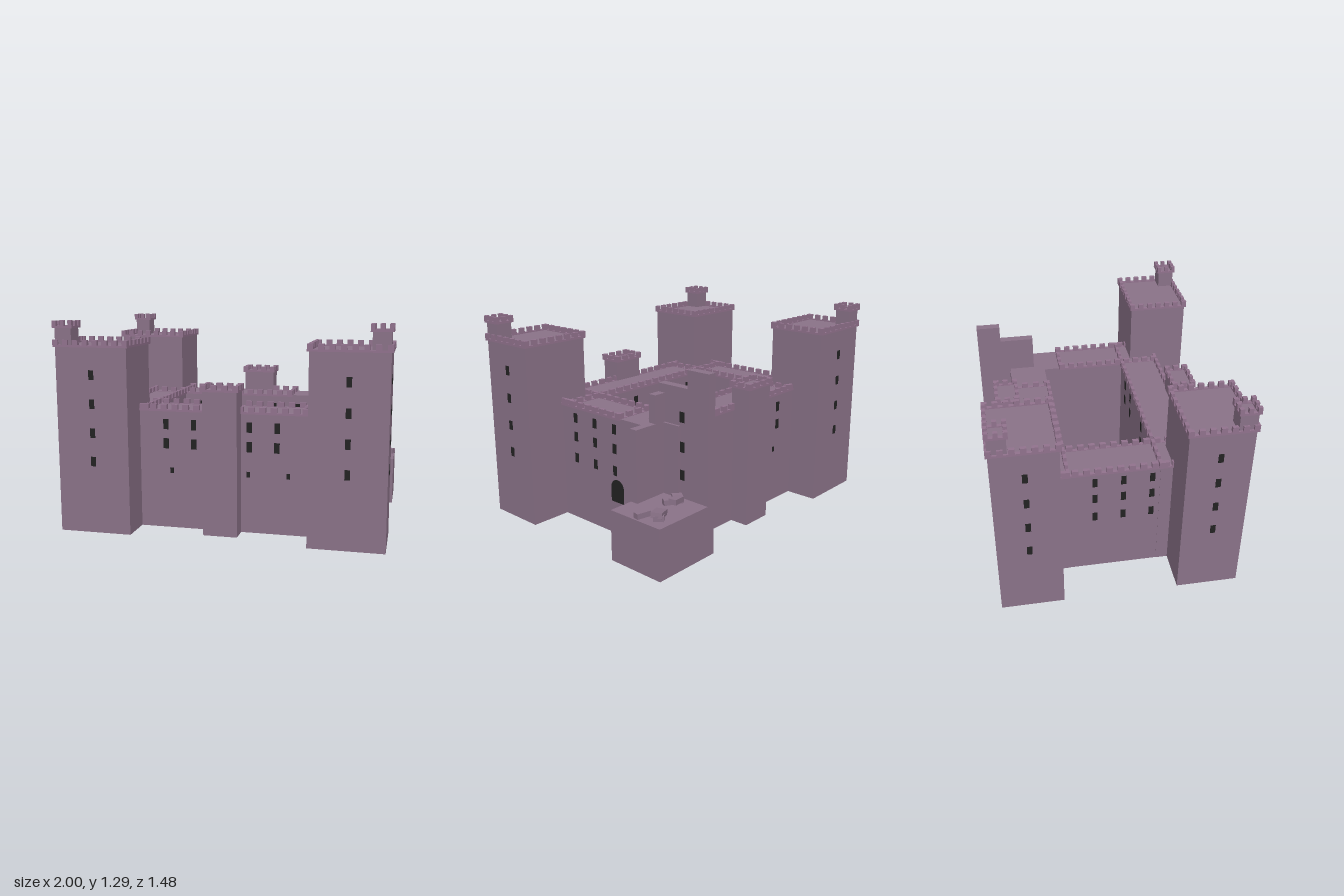
import * as THREE from 'three';
import { mergeGeometries } from 'three/addons/utils/BufferGeometryUtils.js';

export function createModel() {
  const castle = new THREE.Group();
  castle.name = 'castle';
  const stone = new THREE.MeshStandardMaterial({ color: 0x8a7288, side: THREE.DoubleSide });
  stone.name = 'stone';
  const trim = new THREE.MeshStandardMaterial({ color: 0x91728d });
  trim.name = 'parapetStone';
  const dark = new THREE.MeshStandardMaterial({ color: 0x222222 });
  dark.name = 'darkOpening';

  const add = (name, geometry, material) => {
    const mesh = new THREE.Mesh(geometry, material);
    mesh.name = name;
    castle.add(mesh);
    return mesh;
  };
  // Box between two corners
  const span = (x0, x1, y0, y1, z0, z1) =>
    new THREE.BoxGeometry(x1 - x0, y1 - y0, z1 - z0)
      .translate((x0 + x1) / 2, (y0 + y1) / 2, (z0 + z1) / 2);
  // Masonry shell, open underneath
  const shell = (name, ...b) => {
    const g = span(...b);
    const index = Array.from(g.index.array);
    index.splice(18, 6);
    g.setIndex(index);
    g.clearGroups();
    return add(name, g, stone);
  };

  // Overhanging ledge with evenly spaced merlons round a rectangle
  const parapet = (name, x0, x1, z0, z1, y, step = 0.06, rise = 0.043) => {
    const t = 0.011, parts = [], m = step * 0.56;
    const ledge = y + 0.013, top = y + rise;
    for (const z of [z0, z1]) {
      parts.push(span(x0 - t, x1 + t, y, ledge, z - t, z + t));
      const n = Math.round((x1 - x0 + 2 * t - m) / step);
      for (let i = 0; i <= n; i++) {
        const x = x0 - t + (i / n) * (x1 - x0 + 2 * t - m);
        parts.push(span(x, x + m, ledge - 0.003, top, z - t, z + t));
      }
    }
    for (const x of [x0, x1]) {
      parts.push(span(x - t, x + t, y, ledge, z0 - t, z1 + t));
      const n = Math.round((z1 - z0 + 2 * t - m) / step);
      for (let i = 0; i <= n; i++) {
        const z = z0 - t + (i / n) * (z1 - z0 + 2 * t - m);
        parts.push(span(x - t, x + t, ledge - 0.003, top, z, z + m));
      }
    }
    add(name, mergeGeometries(parts), trim);
  };

  // Thin window plates on faces across z or across x
  const windowZ = (x, y, z, w = 0.033, h = 0.063) =>
    add('window', new THREE.BoxGeometry(w, h, 0.006).translate(x, y, z), dark);
  const windowX = (x, y, z, w = 0.031, h = 0.06) =>
    add('window', new THREE.BoxGeometry(0.006, h, w).translate(x, y, z), dark);

  // Three intact corner towers, each with a turret
  for (const [sx, sz] of [[-1, 1], [1, 1], [-1, -1]]) {
    const xs = [0.538 * sx, 0.988 * sx].sort((a, b) => a - b);
    const zs = [0.35 * sz, 0.728 * sz].sort((a, b) => a - b);
    shell('cornerTower', xs[0], xs[1], 0, 1.14, zs[0], zs[1]);
    parapet('towerParapet', xs[0], xs[1], zs[0], zs[1], 1.134);
    const tx = [0.883 * sx, 0.987 * sx].sort((a, b) => a - b);
    const tz = [0.623 * sz, 0.727 * sz].sort((a, b) => a - b);
    shell('turret', tx[0], tx[1], 1.135, 1.252, tz[0], tz[1]);
    parapet('turretParapet', tx[0], tx[1], tz[0], tz[1], 1.246, 0.045);
    for (const y of [0.97, 0.795, 0.62, 0.445]) {
      windowZ(0.763 * sx, y, 0.728 * sz, 0.031, 0.058);
      windowX(0.988 * sx, y, 0.54 * sz, 0.031, 0.058);
    }
  }

  // Curtain walls, crenellated up to the broken corner
  const H = 0.747;
  shell('frontWall', -0.73, 0.725, 0, H, 0.275, 0.522);
  parapet('frontWallParapet', -0.73, 0.725, 0.275, 0.522, 0.736, 0.07);
  shell('backWall', -0.73, 0.605, 0, H, -0.522, -0.28);
  parapet('backWallParapet', -0.73, 0.275, -0.522, -0.28, 0.736, 0.07);
  shell('leftWall', -0.728, -0.49, 0, H - 0.001, -0.52, 0.52);
  parapet('leftWallParapet', -0.728, -0.49, -0.52, 0.52, 0.736, 0.07);
  shell('rightWall', 0.487, 0.727, 0, H - 0.001, -0.395, 0.52);
  parapet('rightWallParapet', 0.487, 0.727, -0.165, 0.52, 0.736, 0.07);

  // Middle towers of the front and back walls
  for (const [z0, z1] of [[0.503, 0.635], [-0.642, -0.51]]) {
    shell('middleTower', -0.105, 0.105, 0, 0.885, z0, z1);
    parapet('middleTowerParapet', -0.105, 0.105, z0, z1, 0.878, 0.063, 0.04);
  }

  // Wall windows
  for (const y of [0.655, 0.535]) {
    for (const x of [-0.37, -0.193, 0.155, 0.325]) {
      windowZ(x, y, 0.522);
      windowZ(x, y, 0.275);
      windowZ(x, y, -0.28);
      if (x < 0) windowZ(x, y, -0.522);
    }
  }
  for (const x of [-0.335, 0.15, 0.395]) windowZ(x, 0.365, 0.522, 0.022, 0.034);
  windowZ(-0.335, 0.365, -0.522, 0.022, 0.034);
  for (const y of [0.672, 0.55, 0.41]) {
    for (const z of [0.228, 0.053, -0.12]) {
      windowX(0.727, y, z);
      windowX(-0.728, y, z);
    }
  }

  // Arched doorway in the right wall
  const arch = new THREE.Shape();
  arch.moveTo(-0.053, 0);
  arch.lineTo(0.053, 0);
  arch.lineTo(0.053, 0.092);
  arch.absarc(0, 0.092, 0.053, 0, Math.PI, false);
  arch.closePath();
  const door = add('archedDoor',
    new THREE.ExtrudeGeometry(arch, { depth: 0.006, bevelEnabled: false, curveSegments: 8 }), dark);
  door.rotation.y = Math.PI / 2;
  door.position.set(0.724, 0.21, -0.138);

  // Ruined corner tower: base and a stepped remnant of each inner wall
  shell('ruinBase', 0.535, 0.985, 0, 0.31, -0.73, -0.352);
  const remnant = new THREE.Shape([[0.352, 0.3], [0.73, 0.3], [0.73, 1.08], [0.575, 1.08],
    [0.575, 0.972], [0.352, 0.972]].map(([a, b]) => new THREE.Vector2(a, b)));
  const sideRuin = add('ruinSideWall',
    new THREE.ExtrudeGeometry(remnant, { depth: 0.055, bevelEnabled: false }), stone);
  sideRuin.rotation.y = Math.PI / 2;
  sideRuin.position.x = 0.535;
  const frontRemnant = new THREE.Shape([[0.58, 0.3], [0.825, 0.3], [0.825, 0.75], [0.67, 0.75],
    [0.67, 0.92], [0.58, 0.92]].map(([a, b]) => new THREE.Vector2(a, b)));
  const frontRuin = add('ruinFrontWall',
    new THREE.ExtrudeGeometry(frontRemnant, { depth: 0.05, bevelEnabled: false }), stone);
  frontRuin.position.z = -0.403;
  for (const y of [0.8, 0.622, 0.452]) windowX(0.59, y, -0.537, 0.036, 0.062);

  // Fallen blocks: x, y, z, length, depth, turn, tilt
  for (const [x, y, z, l, d, turn, tilt] of [
    [0.695, 0.345, -0.585, 0.09, 0.05, 0.2, 0.08], [0.705, 0.332, -0.55, 0.09, 0.045, -0.5, 0],
    [0.645, 0.33, -0.55, 0.08, 0.06, 0.9, 0], [0.885, 0.34, -0.63, 0.1, 0.065, 0.45, 0.15],
    [0.89, 0.328, -0.635, 0.09, 0.06, 0.7, 0], [0.935, 0.33, -0.553, 0.09, 0.04, -0.2, 0]]) {
    const block = add('fallenBlock', new THREE.BoxGeometry(l, 0.032, d), stone);
    block.position.set(x, y, z);
    block.rotation.set(0, turn, tilt);
  }
  return castle;
}
